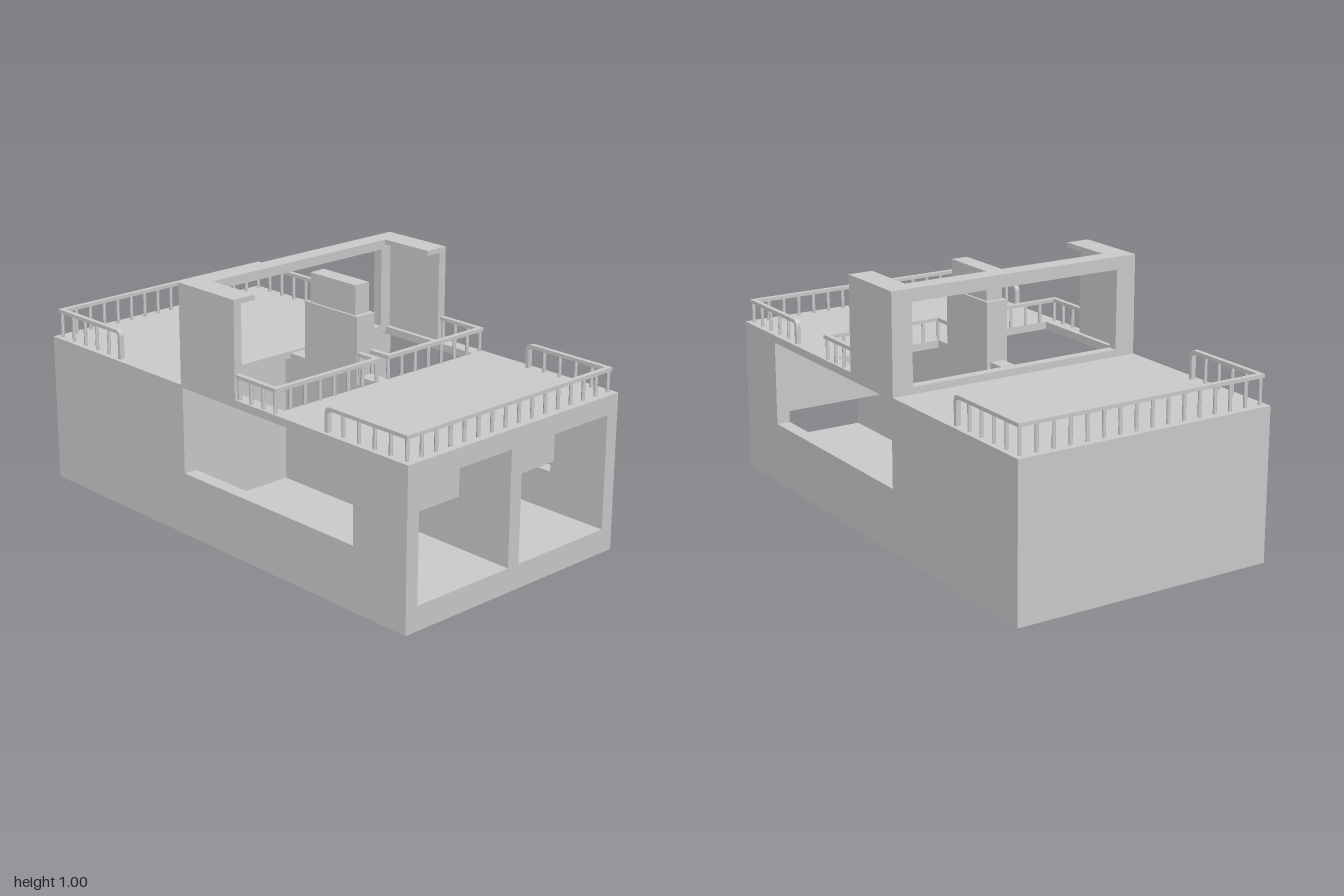
import * as THREE from 'three';

const mat = new THREE.MeshStandardMaterial({ color: 0xcccccc, flatShading: true });
const thin = new THREE.MeshStandardMaterial({ color: 0xcccccc, flatShading: true, side: THREE.DoubleSide });

function add(parent, name, geometry, material = mat) {
  const mesh = new THREE.Mesh(geometry, material);
  mesh.name = name;
  parent.add(mesh);
  return mesh;
}

// Box given by its limits on each axis
function block(parent, name, x0, x1, y0, y1, z0, z1) {
  const g = new THREE.BoxGeometry(x1 - x0, y1 - y0, z1 - z0);
  g.translate((x0 + x1) / 2, (y0 + y1) / 2, (z0 + z1) / 2);
  return add(parent, name, g);
}

const points = (list) => list.map(([a, b]) => new THREE.Vector2(a, b));
const rect = (a0, a1, b0, b1) => points([[a0, b0], [a1, b0], [a1, b1], [a0, b1]]);

function extrude(outline, holes, depth) {
  const shape = new THREE.Shape(outline);
  shape.holes = holes.map((h) => new THREE.Path(h));
  return new THREE.ExtrudeGeometry(shape, { depth, bevelEnabled: false, curveSegments: 5 });
}

// Plate drawn in x and z, hanging down from the given top
const plate = (outline, holes, top, depth) =>
  extrude(outline, holes, depth).rotateX(Math.PI / 2).translate(0, top, 0);

// Panel drawn in z and y, reaching from xMax towards -x
const sidePanel = (outline, holes, xMax, depth) =>
  extrude(outline, holes, depth).rotateY(-Math.PI / 2).translate(xMax, 0, 0);

const W = 0.54, FLOOR = 0.095, ROOF = 0.62, RAIL = 0.715, T = 0.02;

// Straight railing between two points, with evenly spaced posts
function railing(parent, name, x0, z0, x1, z1, base, gaps) {
  const group = new THREE.Group();
  group.name = name;
  parent.add(group);
  block(group, 'handrail', Math.min(x0, x1) - T / 2, Math.max(x0, x1) + T / 2, RAIL - 0.014, RAIL,
    Math.min(z0, z1) - T / 2, Math.max(z0, z1) + T / 2);
  for (let i = 0; i <= gaps; i++) {
    const h = RAIL - 0.01 - base;
    const post = add(group, 'railPost', new THREE.CylinderGeometry(0.007, 0.007, h, 8));
    post.position.set(x0 + (x1 - x0) * i / gaps, base + h / 2, z0 + (z1 - z0) * i / gaps);
  }
}

// U-shaped terrace railing; its arms end in a rounded drop to the deck
function terraceRailing(parent, name, zEnd, zFree, base) {
  const group = new THREE.Group();
  group.name = name;
  parent.add(group);
  railing(group, 'endRailing', -0.515, zEnd, 0.515, zEnd, base, 15);
  const s = Math.sign(zFree - zEnd), r = 0.025, t = 0.014;
  for (const side of [-1, 1]) {
    const p = new THREE.Shape();
    p.moveTo(zEnd, RAIL);
    p.lineTo(zFree - s * r, RAIL);
    p.quadraticCurveTo(zFree, RAIL, zFree, RAIL - r);
    p.lineTo(zFree, base);
    p.lineTo(zFree - s * t, base);
    p.lineTo(zFree - s * t, RAIL - r);
    p.quadraticCurveTo(zFree - s * t, RAIL - t, zFree - s * r, RAIL - t);
    p.lineTo(zEnd, RAIL - t);
    add(group, 'armRail', sidePanel(p.getPoints(5), [], side * 0.515 + T / 2, T));
    for (let i = 1; i < 5; i++) {
      const h = RAIL - 0.01 - base;
      const post = add(group, 'railPost', new THREE.CylinderGeometry(0.007, 0.007, h, 8));
      post.position.set(side * 0.515, base + h / 2, zEnd + (zFree - s * 0.007 - zEnd) * i / 5);
    }
  }
}

export function createModel() {
  const model = new THREE.Group();
  model.name = 'house';

  // Thin skirt below the floor, open underneath
  for (let i = 0; i < 4; i++) {
    const long = i % 2 === 1;
    const g = new THREE.PlaneGeometry(long ? 2 : 2 * W, FLOOR);
    g.translate(0, FLOOR / 2, long ? W : 1).rotateY(i * Math.PI / 2);
    add(model, 'baseSkirt', g, thin);
  }

  // Floor with the slot of the hollow partition
  add(model, 'floor', plate(rect(-W, W, -1, 1), [rect(-0.026, 0.021, -0.18, 0.995)], FLOOR, 0.005));

  // Outer walls
  add(model, 'frontWall', extrude(rect(-W, W, FLOOR - 0.005, ROOF),
    [rect(-0.485, -0.03, FLOOR, 0.545), rect(0.025, 0.485, FLOOR, 0.545)], 0.04).translate(0, 0, 0.96));
  const wall = points([[-1, 0.09], [0.96, 0.09], [0.96, ROOF], [-0.19, ROOF], [-0.19, 0.6], [-1, 0.6]]);
  for (const xMax of [W, -W + 0.055]) {
    add(model, 'sideWall', sidePanel(wall, [rect(-0.18, 0.74, 0.25, 0.59)], xMax, 0.055));
  }
  block(model, 'backWall', -W, W, 0.09, 0.6, -1, -0.96);
  block(model, 'roomBackWall', -0.485, 0.485, FLOOR, ROOF, -0.19, -0.18);

  // Hollow partition between the two bays
  add(model, 'partition', plate(rect(-0.03, 0.025, -0.18, 0.96),
    [rect(-0.026, 0.021, -0.176, 0.956)], 0.6, 0.51));
  block(model, 'partitionTop', -0.03, 0.03, 0.59, ROOF, -0.18, 0.33);

  // Roof decks either side of the open well
  block(model, 'frontDeck', -0.485, 0.485, 0.59, ROOF, 0.325, 0.96);
  block(model, 'backDeck', -W, W, 0.57, 0.6, -1, -0.18);

  // Panels hanging from the ceiling inside the front windows
  block(model, 'hangingPanel', -0.485, -0.03, 0.295, 0.6, 0.74, 0.755);
  block(model, 'hangingPanel', 0.025, 0.485, 0.295, 0.6, 0.74, 0.755);

  // Upper frame around the well
  const frame = new THREE.Group();
  frame.name = 'upperFrame';
  model.add(frame);
  add(frame, 'backFrame', extrude(rect(-W, W, 0.6, 0.975),
    [rect(-0.455, 0.455, 0.628, 0.945)], 0.04).translate(0, 0, -0.19));
  for (const x of [-W, 0.505]) block(frame, 'frameSide', x, x + 0.035, 0.6, 0.975, -0.15, 0.12);
  add(frame, 'frameCap', plate(points([[-W, -0.19], [W, -0.19], [W, 0.12], [0.44, 0.12],
    [0.44, -0.115], [-0.44, -0.115], [-0.44, 0.12], [-W, 0.12]]), [], 0.995, 0.02));

  // Chimney
  block(model, 'chimneyBase', -0.045, 0.045, 0.59, 0.855, -0.05, 0.235);
  block(model, 'chimneyTop', -0.035, 0.035, 0.855, 0.97, -0.03, 0.215);

  // Railings
  terraceRailing(model, 'frontTerraceRailing', 0.97, 0.58, ROOF);
  terraceRailing(model, 'backTerraceRailing', -0.97, -0.58, 0.6);
  for (const s of [-1, 1]) {
    railing(model, 'wellSideRailing', s * 0.525, 0.325, s * 0.525, 0.13, ROOF, 3);
    railing(model, 'wellFrontRailing', s * 0.525, 0.325, s * 0.03, 0.325, ROOF, 7);
    railing(model, 'wellInnerRailing', s * 0.03, 0.325, s * 0.03, 0.24, ROOF, 1);
  }
  return model;
}
